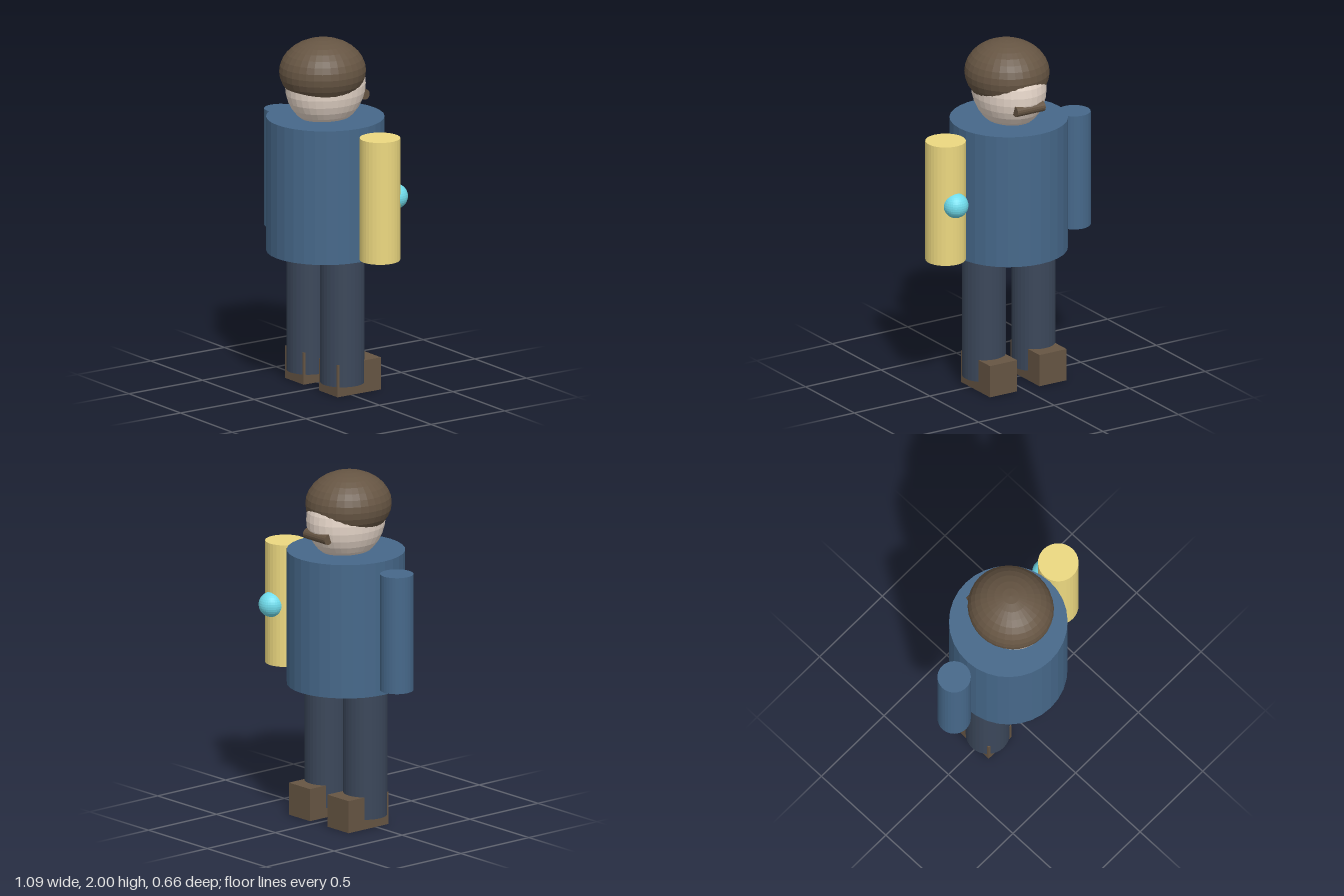
import * as THREE from 'three';

const mat = (color) => new THREE.MeshStandardMaterial({ color, flatShading: true });

export function createModel() {
  const model = new THREE.Group();
  const blue = mat(0x46688a), navy = mat(0x3b475a), brown = mat(0x665543);
  const skin = mat(0xe8d8cb), yellow = mat(0xecd880), cyan = mat(0x70dcec);
  const midX = -0.023;

  const add = (name, geometry, material, x, y, z) => {
    const mesh = new THREE.Mesh(geometry, material);
    mesh.name = name;
    mesh.position.set(x, y, z);
    model.add(mesh);
    return mesh;
  };
  // Upright cylinder given by its bottom and top heights
  const column = (name, material, r, bottom, top, x, z) =>
    add(name, new THREE.CylinderGeometry(r, r, top - bottom, 32), material, x, (bottom + top) / 2, z);
  const ellipsoid = (name, material, rx, ry, rz, x, y, z) =>
    add(name, new THREE.SphereGeometry(1, 32, 16).scale(rx, ry, rz), material, x, y, z);

  // Body and arms
  column('torso', blue, 0.33, 0.78, 1.55, midX, 0);
  column('rightArm', blue, 0.093, 0.83, 1.5, -0.455, 0);
  column('leftArm', yellow, 0.113, 0.815, 1.517, 0.43, -0.053);
  ellipsoid('armOrb', cyan, 0.071, 0.071, 0.071, 0.43, 1.165, -0.157);

  // Legs and shoes, toes pointing to -z
  for (const [side, s] of [['left', 1], ['right', -1]]) {
    const x = midX + s * 0.164;
    column(side + 'Leg', navy, 0.123, 0.056, 0.785, x, 0);
    add(side + 'Shoe', new THREE.BoxGeometry(0.18, 0.185, 0.295), brown, x, 0.0925, -0.0525);
  }

  // Head, hair and moustache
  ellipsoid('head', skin, 0.2, 0.237, 0.237, midX, 1.735, 0);
  ellipsoid('hair', brown, 0.234, 0.185, 0.246, midX, 1.815, 0.019);
  const bar = new THREE.CylinderGeometry(0.03, 0.03, 0.184, 16).rotateZ(Math.PI / 2);
  add('moustache', bar, brown, midX, 1.662, -0.207);

  return model;
}
